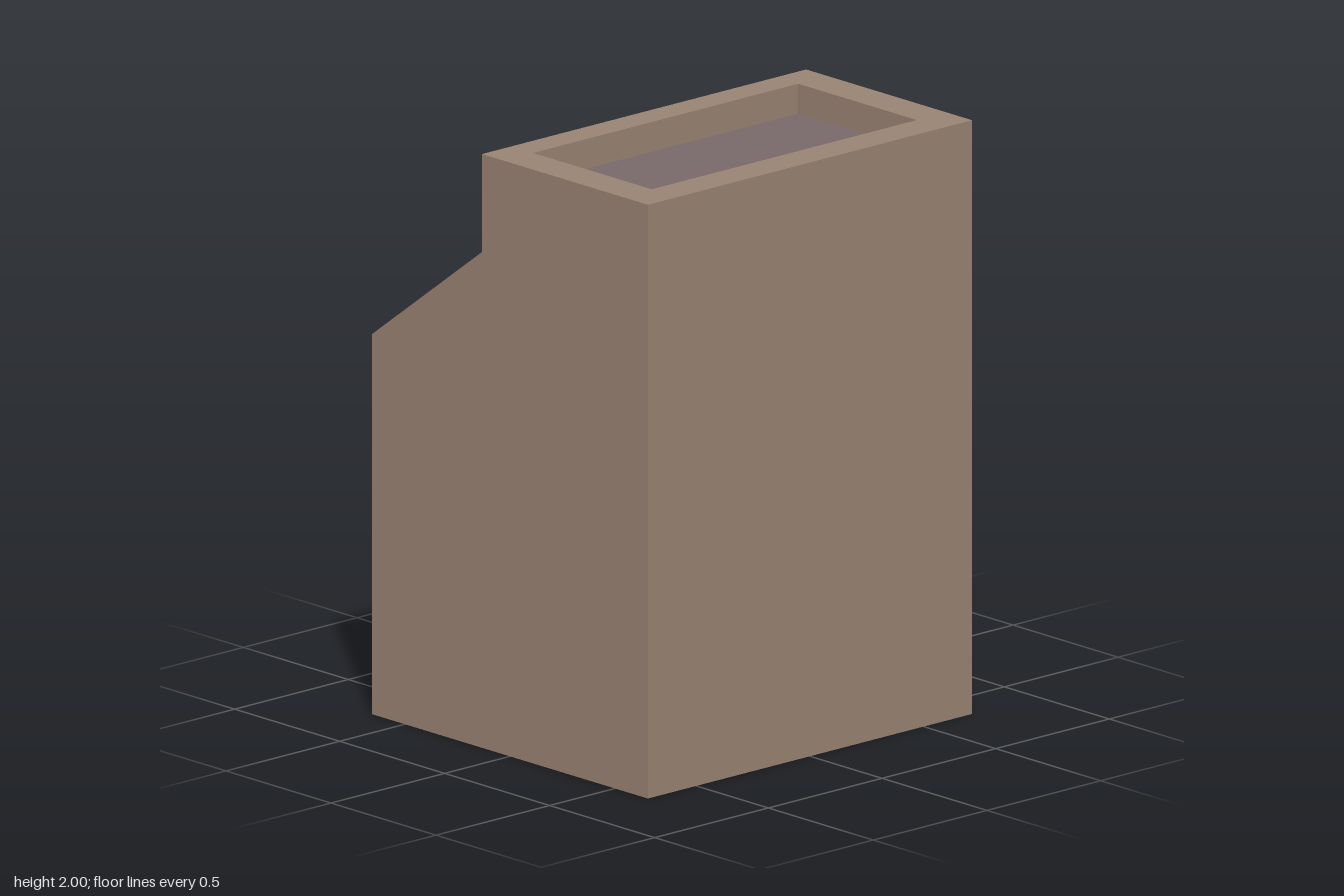
import * as THREE from 'three';

// Main levels, in z (back to front) and y
const W = 0.713, D = 0.657, STEP = -0.133;
const IN_R = -0.583, IN_L = 0.583, BAY_BACK = -0.56;
const TRAY_BACK = -0.03, TRAY_FRONT = 0.535, TRAY_Y = 1.9, FLOOR_Y = 0.1;
const slopeY = (z) => 1.28 + ((z + D) * (1.67 - 1.28)) / (STEP + D);

export function createModel() {
  const group = new THREE.Group();
  const brown = new THREE.MeshStandardMaterial({ color: 0x9a8473 });
  brown.name = 'brown casing';
  const mauve = new THREE.MeshStandardMaterial({ color: 0x796a6b });
  mauve.name = 'mauve lining';

  // Extrudes a (z, y) outline between two x positions
  function slab(name, points, x0, x1, material) {
    const shape = new THREE.Shape(points.map(([z, y]) => new THREE.Vector2(z, y)));
    const geo = new THREE.ExtrudeGeometry(shape, { depth: x1 - x0, bevelEnabled: false });
    geo.rotateY(-Math.PI / 2).translate(x1, 0, 0);
    const mesh = new THREE.Mesh(geo, material);
    mesh.name = name;
    group.add(mesh);
  }

  // Box between the side walls, with optional lining on its top and back
  function block(name, z0, z1, y0, y1, topMat = brown, backMat = brown) {
    const geo = new THREE.BoxGeometry(IN_L - IN_R, y1 - y0, z1 - z0);
    const mesh = new THREE.Mesh(geo, [brown, brown, topMat, brown, brown, backMat]);
    mesh.position.set((IN_L + IN_R) / 2, (y0 + y1) / 2, (z0 + z1) / 2);
    mesh.name = name;
    group.add(mesh);
  }

  // Outline under the sloped rear edge from z0 to z1
  const sloped = (z0, z1, y0) => [[z0, y0], [z1, y0], [z1, slopeY(z1)], [z0, slopeY(z0)]];

  // Stepped side walls
  const profile = [[-D, 0], [D, 0], [D, 2], [STEP, 2], [STEP, slopeY(STEP)], [-D, slopeY(-D)]];
  slab('rightWall', profile, -W, IN_R, brown);
  slab('leftWall', profile, IN_L, W, brown);

  // Front cabinet with a shallow tray on top
  block('cabinet', STEP, D, 0, TRAY_Y, mauve, mauve);
  block('trayFrontRim', TRAY_FRONT, D, TRAY_Y, 2);
  block('trayBackRim', STEP, TRAY_BACK, TRAY_Y, 2, brown, mauve);

  // Rear bays: floor, back wall and divider
  block('bayFloor', BAY_BACK, STEP, 0, FLOOR_Y, mauve);
  slab('backWall', sloped(-D, BAY_BACK, 0), IN_R, IN_L, brown);
  slab('bayDivider', sloped(BAY_BACK, STEP, FLOOR_Y), -0.103, 0.03, brown);

  // Thin linings on the inside of the bays
  const t = 0.003;
  slab('rightLining', sloped(BAY_BACK, STEP, FLOOR_Y), IN_R, IN_R + t, mauve);
  slab('leftLining', sloped(BAY_BACK, STEP, FLOOR_Y), IN_L - t, IN_L, mauve);
  for (const [x0, x1] of [[IN_R, -0.103], [0.03, IN_L]])
    slab('backLining', sloped(BAY_BACK, BAY_BACK + t, FLOOR_Y), x0, x1, mauve);

  return group;
}
